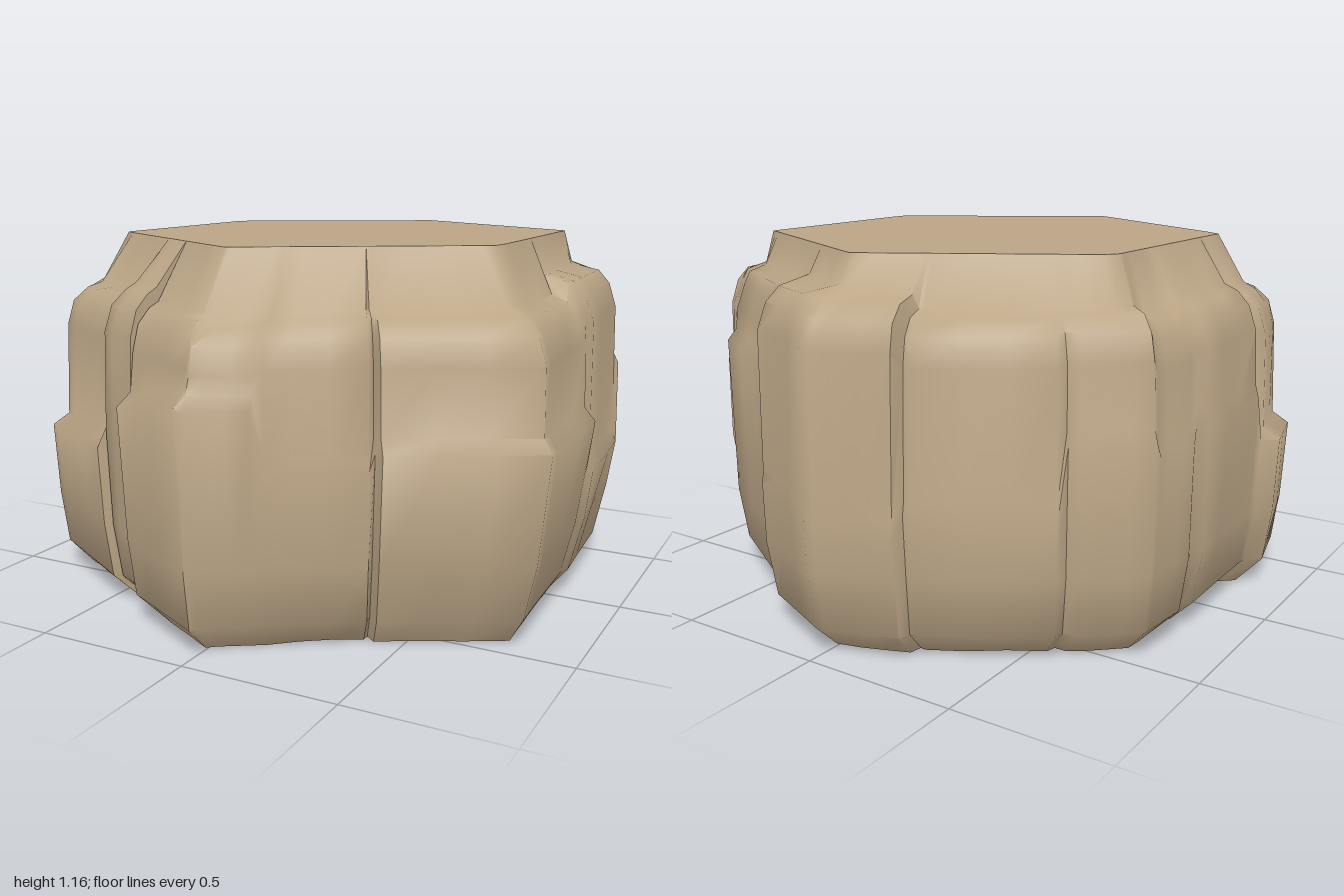
import * as THREE from 'three';
import { toCreasedNormals } from 'three/addons/utils/BufferGeometryUtils.js';

const TOP_Y = 1.175;
// Corners of the flat hexagonal top, running from the back round through +x
const TOP = [[0, -0.77], [0.65, -0.41], [0.67, 0.32], [0, 0.73], [-0.65, 0.33], [-0.65, -0.4]];

// Rock slabs round the rim: start and end in plan, then vertical shape.
// ledge is how far the flat shelf above the shoulder reaches towards the top;
// mid is the height of the break, step its depth, slope the tilt of the break.
const slab = (x0, z0, x1, z1, shoulder, ledge, mid = 0.6, step = 0, lean = 0, slope = 0) =>
  ({ x0, z0, x1, z1, shoulder, ledge, mid, step, lean, slope });
const SLABS = [
  slab(0, -1, 0.28, -0.88, 1.04, 0.7, 0.5, 0.005),
  slab(0.3, -0.83, 0.75, -0.55, 1.02, 0.6, 0.84, 0.03),
  slab(0.79, -0.5, 0.85, -0.46, 1.02, 0.7, 0.75, 0.02, 0.03),
  slab(0.85, -0.46, 0.885, -0.03, 1.02, 0.7, 0.47, 0.015, 0.04),
  slab(0.9, 0.03, 0.905, 0.49, 0.96, 0.5, 0.65, 0.035, 0.07),
  slab(0.905, 0.49, 0.5, 0.73, 0.96, 0.5, 0.65, 0.035, 0.07),
  slab(0.45, 0.71, 0.17, 0.89, 0.96, 0.4, 0.6, 0.01, 0.02),
  slab(0.17, 0.89, 0, 1, 0.94, 0.4, 0.78, 0.025, 0.02),
  slab(0, 1, -0.32, 0.84, 0.96, 0.4, 0.79, 0.05, 0.01, -0.06),
  slab(-0.31, 0.79, -0.46, 0.72, 1.0, 0.4),
  slab(-0.49, 0.73, -0.86, 0.51, 0.96, 0.45, 0.56, 0.055, 0, -0.02),
  slab(-0.86, 0.51, -0.915, 0.28, 0.97, 0.45, 0.55, 0.055),
  slab(-0.865, 0.2, -0.87, -0.2, 0.99, 0.45, 0.7, 0.01),
  slab(-0.86, -0.28, -0.84, -0.48, 0.97, 0.5, 0.66, 0.02),
  slab(-0.84, -0.48, -0.68, -0.62, 1.0, 0.55, 0.7, 0.015),
  slab(-0.63, -0.66, -0.28, -0.88, 0.99, 0.55, 0.5, 0.01),
  slab(-0.25, -0.92, 0, -1, 1.03, 0.6, 0.45, 0.005),
];

// Distance from the centre to the edge of the top in a direction
function topRadius(dx, dz) {
  let r = 1;
  TOP.forEach(([ax, az], i) => {
    const [bx, bz] = TOP[(i + 1) % TOP.length];
    const ex = bx - ax, ez = bz - az;
    const t = (ax * ez - az * ex) / (dx * ez - dz * ex);
    if (t > 0) r = Math.min(r, t);
  });
  return r;
}

// One vertical profile, bottom to top, at fraction t along a slab
function profile(x, z, s, t, sink = 0) {
  const R = Math.hypot(x, z), dx = x / R, dz = z / R;
  const T = topRadius(dx, dz), r = R - sink;
  const upper = r - s.step;
  const mid = s.mid + s.slope * t;
  const tilt = (y) => s.lean * (1 - y / mid);
  const ripple = 0.006 * Math.sin(x * 17 + z * 11);
  const mix = (f) => upper + (T - upper) * f;
  return [
    [0.012 + Math.abs(ripple), r - 0.12 - s.lean * 0.4],
    [0.1, r - 0.035 - tilt(0.1)],
    [0.28, r - 0.01 - tilt(0.28) + ripple],
    [mid - 0.03, r],
    [mid + 0.01, upper],
    [s.shoulder - 0.1, upper - 0.01 + ripple],
    [s.shoulder - 0.02, upper - 0.035],
    [s.shoulder + 0.025, mix(0.35)],
    [s.shoulder + 0.045 + ripple, mix(s.ledge + 0.1)],
    [TOP_Y, T],
  ].map(([y, q]) => [dx * q, y, dz * q]);
}

function buildStations() {
  const stations = [];
  SLABS.forEach((s, i) => {
    const n = SLABS[(i + 1) % SLABS.length];
    const gap = Math.hypot(n.x0 - s.x1, n.z0 - s.z1);
    // Slabs that share a corner blend into each other
    for (const t of gap > 0 ? [0, 0.33, 0.67, 1] : [0, 0.33, 0.67, 0.9]) {
      stations.push(profile(s.x0 + (s.x1 - s.x0) * t, s.z0 + (s.z1 - s.z0) * t, s, t));
    }
    // Groove where neighbouring slabs leave a gap
    if (gap > 0.03) {
      stations.push(profile((s.x1 + n.x0) / 2, (s.z1 + n.z0) / 2, s, 1, 0.022));
    }
  });
  return stations;
}

function geometryFrom(points, index) {
  const g = new THREE.BufferGeometry();
  g.setAttribute('position', new THREE.Float32BufferAttribute(points.flat(), 3));
  g.setIndex(index);
  return g;
}

export function createModel() {
  const model = new THREE.Group();
  model.name = 'hexagonalRock';
  const stone = new THREE.MeshStandardMaterial({ color: 0xbaa485, side: THREE.DoubleSide });
  stone.name = 'tan stone';

  const stations = buildStations();
  const count = stations.length, rows = stations[0].length;

  // Rocky side wall, open underneath
  const index = [];
  for (let j = 0; j < count; j++) {
    const k = (j + 1) % count;
    for (let i = 0; i < rows - 1; i++) {
      const a = j * rows + i, b = k * rows + i;
      index.push(a, a + 1, b, b, a + 1, b + 1);
    }
  }
  const wall = new THREE.Mesh(toCreasedNormals(geometryFrom(stations.flat(), index), 1.1), stone);
  wall.name = 'rockWall';
  model.add(wall);

  // Flat top
  const rim = [[0, TOP_Y, 0], ...stations.map((s) => s[rows - 1])];
  const fan = [];
  for (let j = 0; j < count; j++) fan.push(0, 1 + ((j + 1) % count), 1 + j);
  const capGeometry = geometryFrom(rim, fan);
  capGeometry.computeVertexNormals();
  const cap = new THREE.Mesh(capGeometry, stone);
  cap.name = 'flatTop';
  model.add(cap);

  return model;
}
